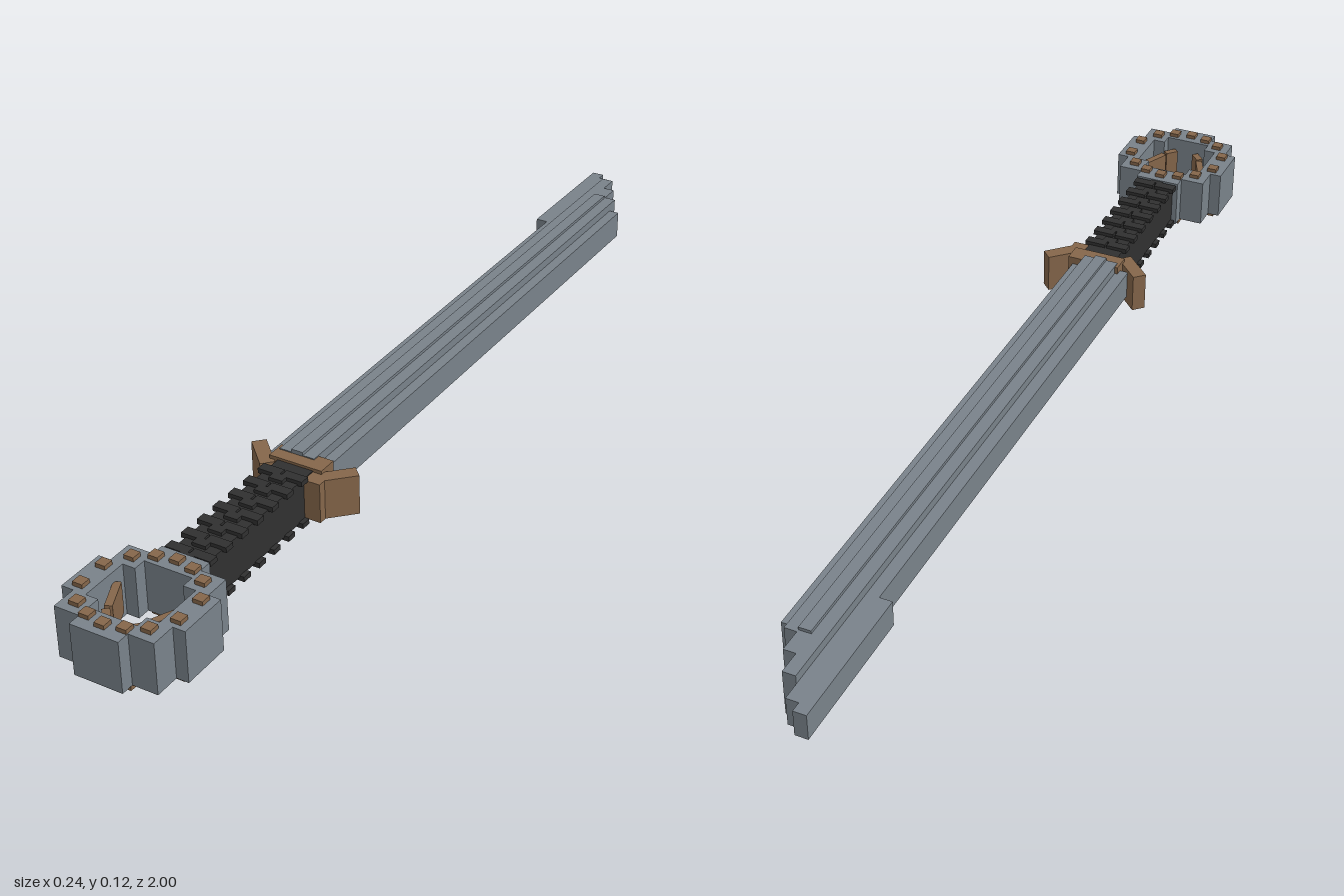
import * as THREE from 'three';

export function createModel() {
  const model = new THREE.Group();
  model.name = 'sword';
  const steel = new THREE.MeshStandardMaterial({ name: 'steel grey', color: 0x79828a });
  const bronze = new THREE.MeshStandardMaterial({ name: 'bronze brown', color: 0x85664a });
  const leather = new THREE.MeshStandardMaterial({ name: 'dark leather', color: 0x303030 });

  const group = (name) => {
    const g = new THREE.Group();
    g.name = name;
    model.add(g);
    return g;
  };
  // Box given by its limits along each axis
  const box = (parent, name, mat, x0, x1, y0, y1, z0, z1) => {
    const m = new THREE.Mesh(new THREE.BoxGeometry(x1 - x0, y1 - y0, z1 - z0), mat);
    m.position.set((x0 + x1) / 2, (y0 + y1) / 2, (z0 + z1) / 2);
    m.name = name;
    parent.add(m);
    return m;
  };
  // Upright plate turned about y
  const plate = (parent, name, mat, x, z, w, d, y0, y1, angle) => {
    const m = box(parent, name, mat, x - w / 2, x + w / 2, y0, y1, z - d / 2, z + d / 2);
    m.rotation.y = angle;
  };

  // Blade: long strips, thickest along the ridge, with a stepped tip
  const blade = group('blade');
  [
    [-0.098, -0.073, 0.04, 0.092, -1, -0.71],
    [-0.073, -0.049, 0.035, 0.092, -0.98, 0.4],
    [-0.049, -0.024, 0.018, 0.109, -0.945, 0.4],
    [-0.024, 0, 0.018, 0.109, -0.9, -0.85],
    [-0.024, 0, 0.011, 0.115, -0.85, 0.4],
    [0, 0.024, 0.018, 0.109, -0.855, 0.4],
    [0.024, 0.045, 0.035, 0.092, -0.83, 0.4],
  ].forEach((b) => box(blade, 'bladeStrip', steel, ...b));

  // Guard: centre block with two arms swept toward the blade
  const guard = group('guard');
  box(guard, 'guardCentre', bronze, -0.055, 0.055, 0.014, 0.107, 0.385, 0.425);
  for (const s of [-1, 1]) {
    plate(guard, 'guardArm', bronze, s * 0.077, 0.412, 0.078, 0.028, 0.02, 0.1, s * Math.PI / 4);
  }
  box(guard, 'guardBlock', bronze, 0.035, 0.07, 0.02, 0.1, 0.415, 0.455);

  // Grip: core with raised wraps above and below
  const grip = group('grip');
  box(grip, 'gripCore', leather, -0.037, 0.037, 0.018, 0.102, 0.41, 0.765);
  for (let i = 0; i < 7; i++) {
    const z = 0.455 + i * 0.046;
    for (const [y0, y1] of [[0.011, 0.021], [0.099, 0.109]]) {
      box(grip, 'wrapLeft', leather, 0.002, 0.046, y0, y1, z, z + 0.02);
      box(grip, 'wrapRight', leather, -0.046, -0.002, y0, y1, z, z + 0.02);
      box(grip, 'wrapLink', leather, -0.014, 0.014, y0, y1, z + 0.015, z + 0.034);
    }
  }

  // Pommel: blocky ring around an open centre
  const pommel = group('pommelRing');
  const ring = (...b) => box(pommel, 'ringBlock', steel, ...b);
  ring(-0.048, 0.048, 0.01, 0.111, 0.755, 0.804);
  ring(-0.048, 0.048, 0.01, 0.111, 0.951, 1);
  for (const s of [-1, 1]) {
    const side = (a, b, z0, z1) => ring(Math.min(s * a, s * b), Math.max(s * a, s * b), 0.01, 0.111, z0, z1);
    side(0.048, 0.098, 0.78, 0.829);
    side(0.048, 0.098, 0.926, 0.975);
    side(0.073, 0.122, 0.829, 0.926);
    // Slanted plates inside the ring
    plate(pommel, 'innerPlate', bronze, s * 0.056, 0.88, 0.014, 0.066, 0.03, 0.09, -s * 0.43);
    plate(pommel, 'innerTip', bronze, s * 0.032, 0.928, 0.014, 0.028, 0.03, 0.09, -s * 0.75);
  }

  // Studs on both faces of the ring
  const studs = group('studs');
  const spots = [[0, 0.778], [0, 0.976]];
  for (const s of [-1, 1]) {
    for (const [x, z] of [[0.037, 0.786], [0.037, 0.968], [0.071, 0.806], [0.071, 0.95], [0.097, 0.848], [0.097, 0.907]]) {
      spots.push([s * x, z]);
    }
  }
  for (const [x, z] of spots) {
    box(studs, 'studTop', bronze, x - 0.01, x + 0.01, 0.108, 0.119, z - 0.01, z + 0.01);
    box(studs, 'studBottom', bronze, x - 0.01, x + 0.01, 0, 0.013, z - 0.01, z + 0.01);
  }
  return model;
}
